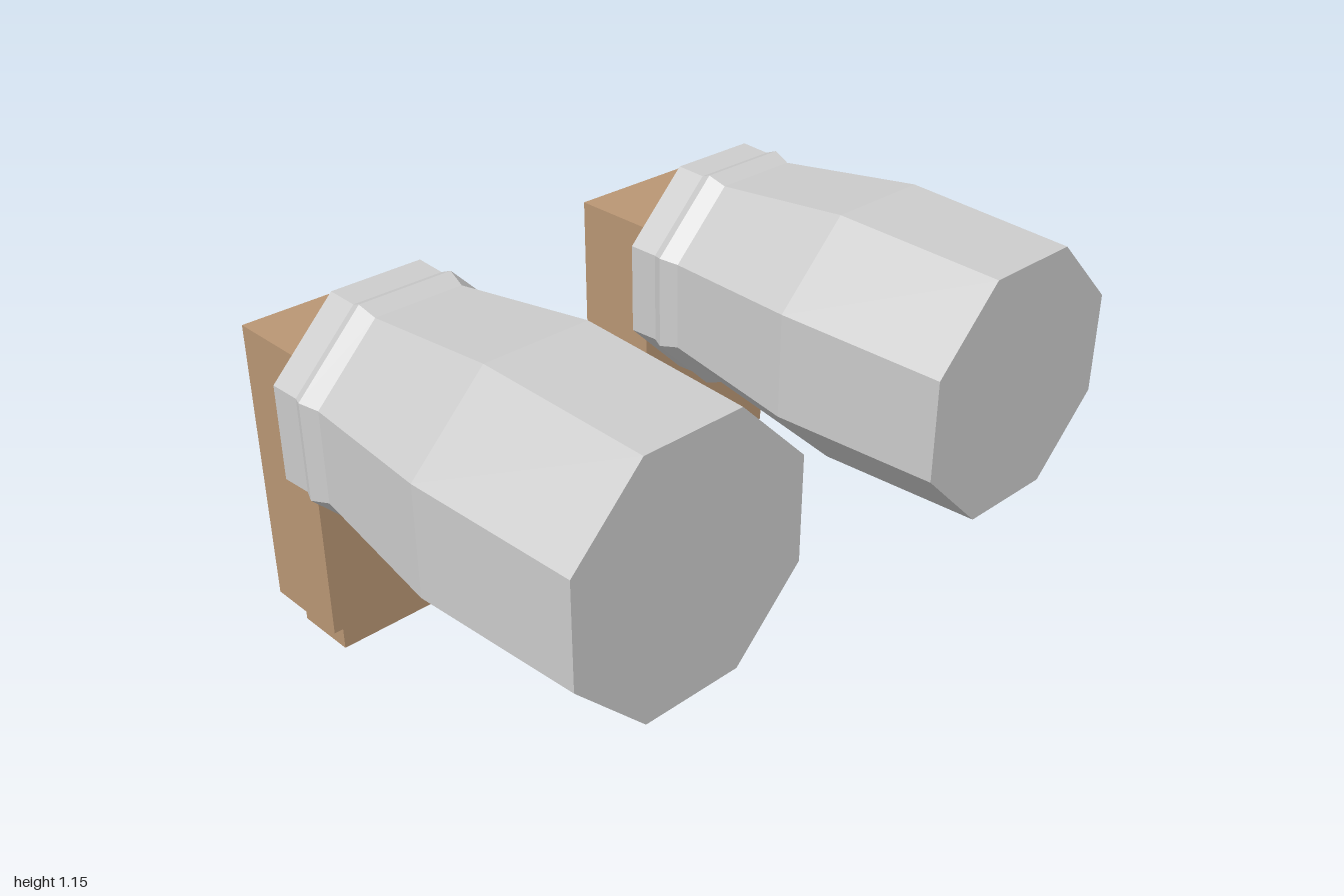
import * as THREE from 'three';

export function createModel() {
  const model = new THREE.Group();
  const grey = new THREE.MeshStandardMaterial({ color: 0xcccccc, flatShading: true });
  const brown = new THREE.MeshStandardMaterial({ color: 0xb99674, flatShading: true });

  // Octagonal barrel: [distance from axis to flat side, z], back to front, closed at both ends
  const profile = [
    [0, -0.445], [0.336, -0.445], [0.332, -0.35], [0.345, -0.317],
    [0.325, -0.262], [0.383, 0.2], [0.362, 0.722], [0, 0.722],
  ].map(([r, z]) => new THREE.Vector2(r / Math.cos(Math.PI / 8), z));
  const barrelGeometry = new THREE.LatheGeometry(profile, 8, Math.PI / 8).rotateX(Math.PI / 2);

  // Box given by its centre x, width and its y and z ranges
  const box = (name, x, width, [y0, y1], [z0, z1]) => {
    const mesh = new THREE.Mesh(new THREE.BoxGeometry(width, y1 - y0, z1 - z0), brown);
    mesh.position.set(x, (y0 + y1) / 2, (z0 + z1) / 2);
    mesh.name = name;
    return mesh;
  };

  for (const [side, s] of [['left', 1], ['right', -1]]) {
    const unit = new THREE.Group();
    unit.name = side + 'Unit';

    const barrel = new THREE.Mesh(barrelGeometry, grey);
    barrel.name = side + 'Barrel';
    barrel.position.set(s * 0.617, 0.766, 0);

    // Upright block behind the barrel and the smaller foot beneath it
    unit.add(
      barrel,
      box(side + 'BackBlock', s * 0.603, 0.53, [0.08, 0.945], [-0.722, -0.445]),
      box(side + 'Foot', s * 0.603, 0.455, [0, 0.08], [-0.655, -0.461]),
    );
    model.add(unit);
  }
  return model;
}
